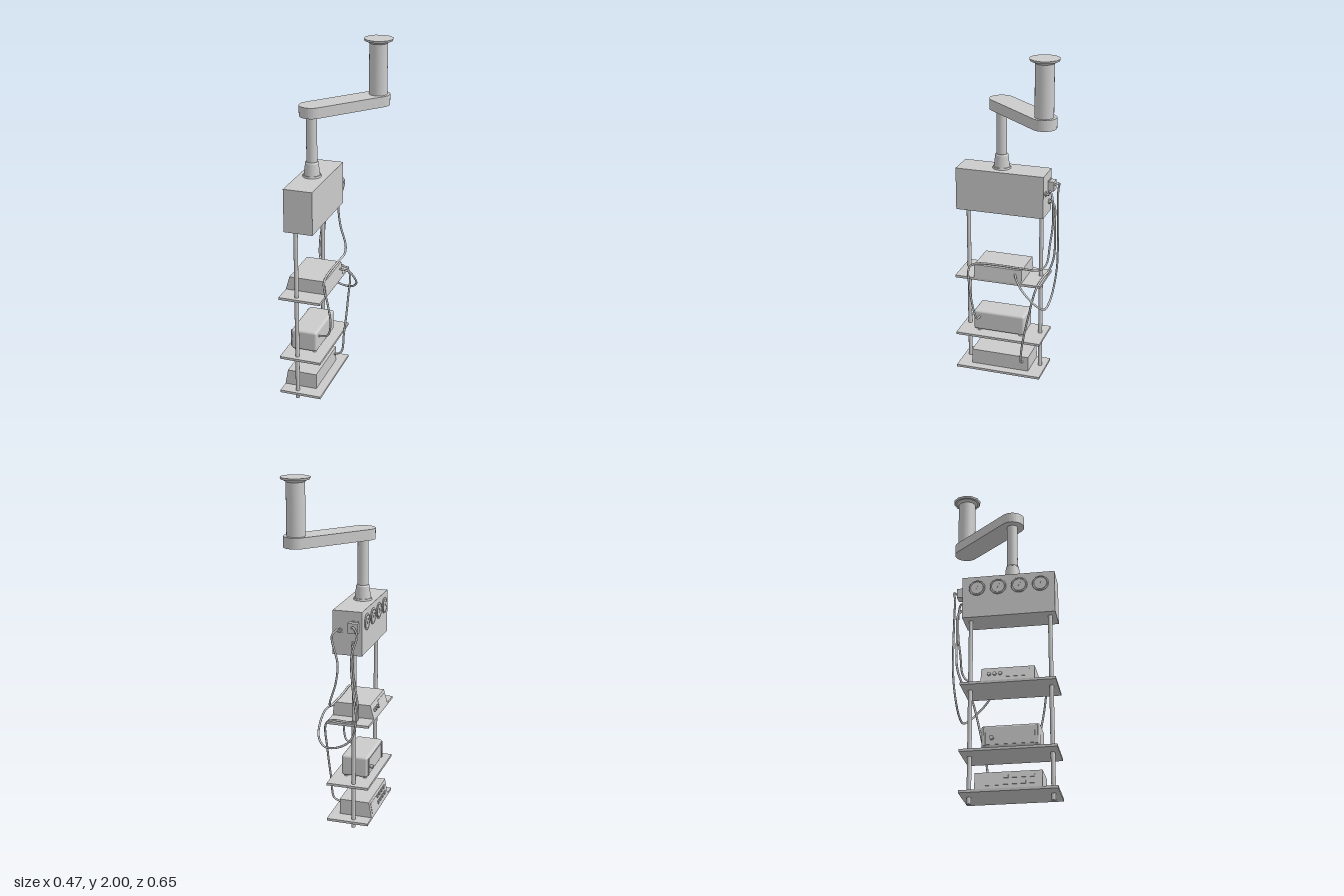
import * as THREE from 'three';
import { RoundedBoxGeometry } from 'three/addons/geometries/RoundedBoxGeometry.js';

const grey = new THREE.MeshStandardMaterial({ color: 0xcccccc });

export function createModel() {
  const root = new THREE.Group();

  const add = (name, geo, x = 0, y = 0, z = 0, parent = root) => {
    const m = new THREE.Mesh(geo, grey);
    m.name = name;
    m.position.set(x, y, z);
    parent.add(m);
    return m;
  };
  // box given by its min and max on each axis
  const box = (name, x0, x1, y0, y1, z0, z1, parent) =>
    add(name, new THREE.BoxGeometry(x1 - x0, y1 - y0, z1 - z0), (x0 + x1) / 2, (y0 + y1) / 2, (z0 + z1) / 2, parent);
  // upright cylinder from y0 to y1
  const post = (name, x, z, rTop, rBot, y0, y1, n = 24) =>
    add(name, new THREE.CylinderGeometry(rTop, rBot, y1 - y0, n), x, (y0 + y1) / 2, z);
  // disc lying along x or z
  const disc = (name, axis, r, len, x, y, z, parent) => {
    const g = new THREE.CylinderGeometry(r, r, len, 20);
    if (axis === 'x') g.rotateZ(Math.PI / 2); else g.rotateX(Math.PI / 2);
    return add(name, g, x, y, z, parent);
  };
  const cable = (name, pts, r = 0.006) => {
    const curve = new THREE.CatmullRomCurve3(pts.map(p => new THREE.Vector3(...p)), false, 'centripetal');
    add(name, new THREE.TubeGeometry(curve, 90, r, 8));
  };

  // Two poles and three shelves
  for (const z of [0.29, -0.15]) post('pole', -0.138, z, 0.012, 0.012, 0, 1.05, 16);
  for (const y of [0.042, 0.262, 0.634]) box('shelf', -0.232, 0.01, y - 0.007, y + 0.007, -0.188, 0.325);

  // Head box with a row of dials on the -x face
  box('headBox', -0.193, -0.028, 1.04, 1.287, -0.19, 0.325);
  for (const z of [0.247, 0.129, 0.011, -0.107]) {
    disc('dialFace', 'x', 0.036, 0.016, -0.193, 1.215, z);
    const rim = add('dialRim', new THREE.TorusGeometry(0.041, 0.005, 8, 28), -0.198, 1.215, z);
    rim.rotation.y = Math.PI / 2;
    const needle = box('dialNeedle', -0.203, -0.2, 1.203, 1.235, z - 0.002, z + 0.002);
    needle.rotation.x = 0.5;
  }

  // Plug and sockets on the back of the head box
  box('plugPlate', -0.177, -0.122, 1.17, 1.235, -0.196, -0.19);
  box('plug', -0.177, -0.122, 1.175, 1.23, -0.224, -0.196);
  for (const [x, y] of [[-0.07, 1.175], [-0.145, 1.105]]) {
    disc('socket', 'z', 0.015, 0.008, x, y, -0.192);
    disc('cableEnd', 'z', 0.008, 0.024, x, y, -0.2);
  }

  // Column with flared collar
  const cx = -0.117, cz = 0.08;
  post('collarFlange', cx, cz, 0.05, 0.053, 1.285, 1.297);
  post('collar', cx, cz, 0.037, 0.045, 1.297, 1.365);
  post('collarRing', cx, cz, 0.033, 0.038, 1.365, 1.372);
  post('column', cx, cz, 0.03, 0.03, 1.37, 1.64);

  // Crank arm: a stadium turned toward the handle
  const hx = 0.157, hz = -0.243, R = 0.068;
  const L = Math.hypot(hx - cx, hz - cz);
  const s = new THREE.Shape();
  s.moveTo(0, -R);
  s.lineTo(L, -R);
  s.absarc(L, 0, R, -Math.PI / 2, Math.PI / 2, false);
  s.lineTo(0, R);
  s.absarc(0, 0, R, Math.PI / 2, Math.PI * 1.5, false);
  const armGeo = new THREE.ExtrudeGeometry(s, { depth: 0.06, bevelEnabled: false, curveSegments: 8 });
  armGeo.rotateX(-Math.PI / 2);
  add('crankArm', armGeo, cx, 1.63, cz).rotation.y = Math.atan2(cz - hz, hx - cx);

  // Handle with a capped end
  post('handle', hx, hz, 0.051, 0.051, 1.685, 1.98);
  post('handleFlare', hx, hz, 0.066, 0.052, 1.975, 1.988, 12);
  post('handleCap', hx, hz, 0.082, 0.078, 1.988, 2, 12);

  // Console with a sloped -x face, extruded along z
  const console3 = (name, xs, y0, y1, z0, z1) => {
    const [bl, tl, tr, br] = xs;
    const p = new THREE.Shape([[bl, y0], [br, y0], [tr, y1], [tl, y1]].map(a => new THREE.Vector2(...a)));
    const g = new THREE.Group();
    g.name = name;
    root.add(g);
    add('consoleBody', new THREE.ExtrudeGeometry(p, { depth: z1 - z0, bevelEnabled: false }), 0, 0, z0, g);
    // panel frame lying in the sloped face, local y up the slope
    const face = new THREE.Group();
    face.name = 'controlPanel';
    face.position.set((bl + tl) / 2, (y0 + y1) / 2, (z0 + z1) / 2);
    face.rotation.z = -Math.atan2(tl - bl, y1 - y0);
    g.add(face);
    return face;
  };

  // Upper console
  const up = console3('upperConsole', [-0.232, -0.21, 0, 0.01], 0.641, 0.72, -0.076, 0.211);
  box('screen', -0.002, 0.002, -0.022, 0.024, -0.01, 0.115, up);
  for (const z of [-0.04, -0.07, -0.1]) disc('knob', 'x', 0.01, 0.012, -0.003, 0, z, up);

  // Lower console
  const low = console3('lowerConsole', [-0.232, -0.215, -0.042, -0.042], 0.049, 0.14, -0.105, 0.245);
  box('screen', -0.002, 0.002, -0.03, 0.03, -0.15, -0.05, low);
  for (let i = 0; i < 4; i++) for (const y of [-0.018, 0.018])
    box('button', -0.005, 0.003, y - 0.009, y + 0.009, -0.025 + i * 0.045, i * 0.045, low);

  // Middle rounded unit with feet, front bezel and grips
  add('middleUnit', new RoundedBoxGeometry(0.154, 0.122, 0.312, 3, 0.014), -0.12, 0.341, 0.078);
  for (const x of [-0.175, -0.065]) for (const z of [-0.05, 0.205]) post('foot', x, z, 0.011, 0.011, 0.268, 0.285, 12);
  box('unitPanel', -0.2, -0.19, 0.295, 0.385, -0.05, 0.205);
  for (const z of [-0.06, 0.215]) box('unitGrip', -0.203, -0.19, 0.29, 0.39, z - 0.006, z + 0.006);
  disc('unitKnob', 'x', 0.011, 0.02, -0.206, 0.33, -0.02);

  // Cables hanging from the back
  cable('unitCable', [[-0.07, 1.175, -0.2], [-0.066, 1.19, -0.222], [-0.04, 1.16, -0.24], [-0.07, 1.0, -0.236],
    [-0.055, 0.88, -0.225], [-0.02, 0.77, -0.215], [-0.01, 0.735, -0.18], [-0.012, 0.728, -0.05], [-0.012, 0.73, 0.06],
    [-0.004, 0.725, 0.2], [0.005, 0.7, 0.24], [0.025, 0.6, 0.235], [0.033, 0.46, 0.21], [0.01, 0.38, 0.197], [-0.045, 0.365, 0.195]]);
  cable('upperCable', [[-0.145, 1.205, -0.222], [-0.16, 1.215, -0.245], [-0.178, 1.17, -0.235], [-0.15, 1.05, -0.243],
    [-0.16, 0.85, -0.243], [-0.175, 0.68, -0.235], [-0.14, 0.56, -0.225], [-0.07, 0.51, -0.222], [0.01, 0.5, -0.215],
    [0.058, 0.54, -0.18], [0.068, 0.62, -0.105], [0.045, 0.675, -0.06], [0, 0.692, -0.035]]);
  cable('lowerCable', [[-0.145, 1.105, -0.205], [-0.15, 1.08, -0.222], [-0.155, 0.95, -0.224], [-0.18, 0.75, -0.215],
    [-0.165, 0.665, -0.19], [-0.12, 0.648, -0.175], [-0.02, 0.648, -0.175], [0.02, 0.62, -0.165], [0.025, 0.45, -0.125],
    [0.015, 0.25, -0.085], [0.002, 0.13, -0.072], [-0.045, 0.106, -0.07]]);

  return root;
}
